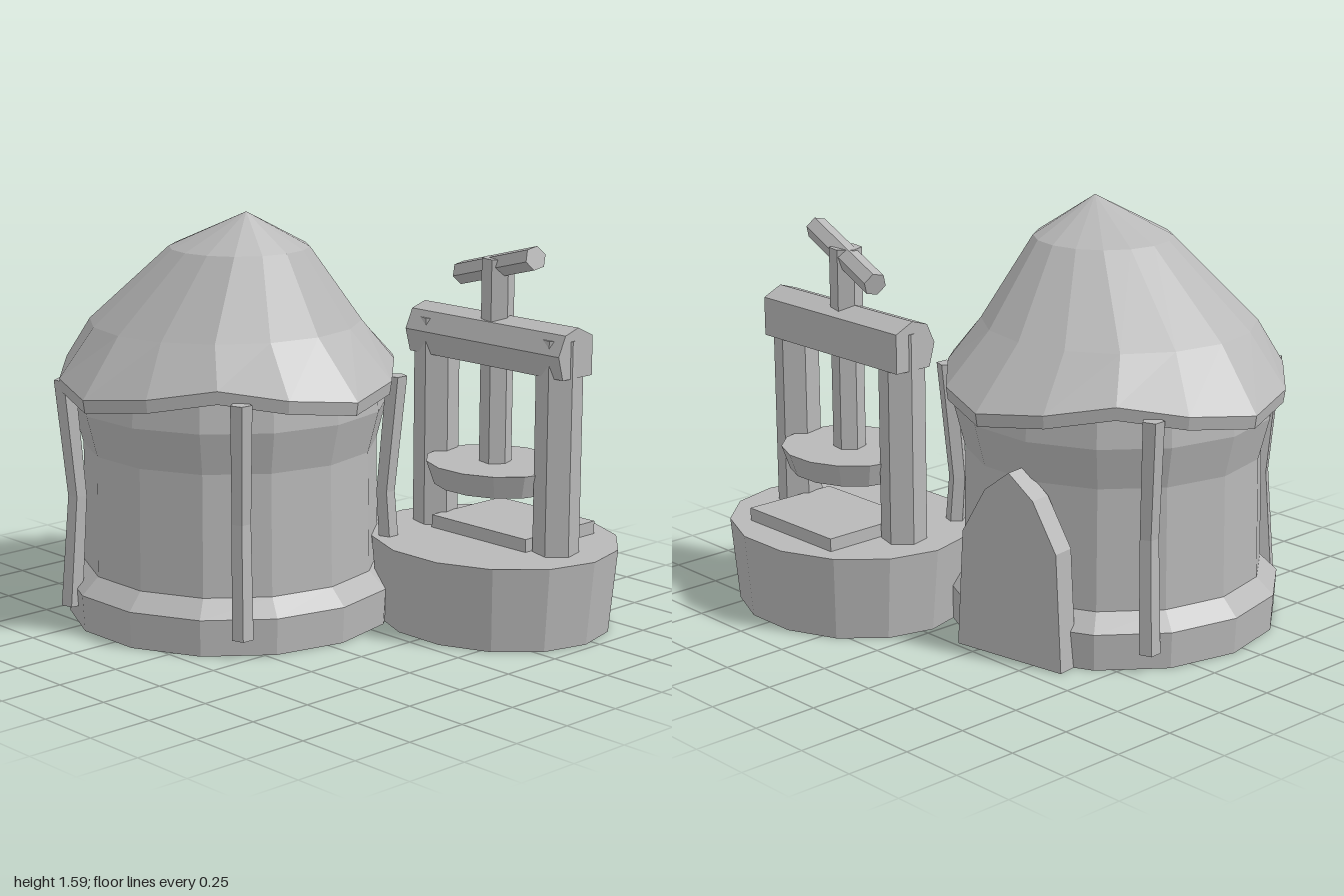
import * as THREE from 'three';

const stone = new THREE.MeshStandardMaterial({ color: 0xb8b8b8, flatShading: true, side: THREE.DoubleSide });
stone.name = 'plain grey';

const V = (x, y, z) => new THREE.Vector3(x, y, z);

// Closed ring of n points round (x, y, z); radii may depend on the angle
function ring(n, x, y, z, rx, rz = rx, turn = 0) {
  return Array.from({ length: n }, (_, i) => {
    const a = turn + (i / n) * Math.PI * 2;
    return V(x + rx * Math.cos(a), y, z + rz * Math.sin(a));
  });
}

// Skin a stack of rings, from bottom to top
function loft(rings) {
  const pos = [];
  const tri = (a, b, c) => {
    const area = b.clone().sub(a).cross(c.clone().sub(a)).length();
    if (area > 1e-9) for (const p of [a, b, c]) pos.push(p.x, p.y, p.z);
  };
  for (let i = 0; i < rings.length - 1; i++) {
    const lo = rings[i], hi = rings[i + 1], n = lo.length;
    for (let j = 0; j < n; j++) {
      const k = (j + 1) % n;
      tri(lo[j], hi[j], lo[k]);
      tri(lo[k], hi[j], hi[k]);
    }
  }
  const g = new THREE.BufferGeometry();
  g.setAttribute('position', new THREE.Float32BufferAttribute(pos, 3));
  g.computeVertexNormals();
  return g;
}

export function createModel() {
  const model = new THREE.Group();
  model.name = 'hutWithPress';
  const add = (name, geometry, parent = model) => {
    const m = new THREE.Mesh(geometry, stone);
    m.name = name;
    parent.add(m);
    return m;
  };

  const hut = new THREE.Group();
  hut.name = 'hut';
  const press = new THREE.Group();
  press.name = 'press';
  model.add(hut, press);
  const HX = -0.293, HZ = 0.19;

  // Round wall with a plinth and a flared top, open below
  const wall = [[0.63, 0], [0.638, 0.14], [0.571, 0.205], [0.564, 0.67], [0.605, 0.83], [0.595, 0.95]];
  add('wall', loft(wall.map(([r, y]) => ring(14, HX, y, HZ, r))), hut);

  // Thatched roof: wavy rim, low on the four axes and high between, with a leaning peak
  const rim = (y, r) => ring(16, 0, 0, 0, 1).map((p, i) => {
    const w = [0, 0.45, 1, 0.45][i % 4];
    const rr = r - 0.08 * w * (r / 0.705);
    return V(HX + p.x * rr, y + 0.065 * w, HZ + p.z * rr);
  });
  add('roof', loft([
    ring(16, HX, 0.96, HZ, 0.56),
    rim(0.88, 0.70),
    rim(0.93, 0.708),
    ring(16, -0.28, 1.15, 0.222, 0.518),
    ring(16, -0.165, 1.445, 0.25, 0.264),
    ring(16, -0.09, 1.585, 0.28, 0),
  ]), hut);

  // Crooked poles leaning against the wall
  for (const [dx, dz] of [[0.51, 0.39], [0.515, -0.37], [-0.53, -0.35], [-0.27, 0.59]]) {
    const d = Math.hypot(dx, dz), turn = Math.atan2(dz, dx);
    const at = (y, r, s) => ring(5, HX + (dx / d) * r, y, HZ + (dz / d) * r, s, s, turn);
    add('pole', loft([
      at(0.07, 0.635, 0), at(0.07, 0.635, 0.042), at(0.5, 0.605, 0.037),
      at(0.95, 0.645, 0.042), at(0.95, 0.645, 0),
    ]), hut);
  }

  // Pointed door slab at the back
  const arch = new THREE.Shape([[-0.24, 0], [0.24, 0], [0.215, 0.45], [0.11, 0.63], [0, 0.715], [-0.11, 0.63], [-0.215, 0.45]]
    .map(([x, y]) => new THREE.Vector2(x, y)));
  const door = add('door', new THREE.ExtrudeGeometry(arch, { depth: 0.09, bevelEnabled: false }), hut);
  const turn = Math.PI + 0.15;
  door.rotation.y = turn;
  door.position.set(HX + Math.sin(turn) * 0.555, 0, HZ + Math.cos(turn) * 0.555);

  // Oval tub, open below
  const PX = 0.492, PZ = -0.46;
  add('tub', loft([
    ring(14, PX, 0, PZ, 0.475, 0.415),
    ring(14, PX, 0.325, PZ, 0.508, 0.442),
    ring(14, PX, 0.325, PZ, 0, 0),
  ]), press);

  // Flat board on the tub
  add('board', new THREE.BoxGeometry(0.49, 0.05, 0.39).translate(PX, 0.35, -0.565), press);

  // Pressing plate
  add('pressPlate', loft([
    ring(14, PX, 0.53, PZ, 0, 0),
    ring(14, PX, 0.53, PZ, 0.25, 0.218),
    ring(14, PX, 0.62, PZ, 0.28, 0.25),
    ring(14, PX, 0.62, PZ, 0, 0),
  ]), press);

  // Two posts
  for (const side of [-1, 1]) {
    const x = PX + side * 0.315;
    add('post', new THREE.CylinderGeometry(0.087, 0.087, 0.82, 6)
      .rotateY(0.25).translate(x, 0.73, PZ), press);
  }

  // Cross beam with a ridged top
  const section = new THREE.Shape([[-0.55, 1.0], [-0.39, 1.0], [-0.365, 1.09], [-0.4, 1.165], [-0.47, 1.187], [-0.55, 1.15]]
    .map(([z, y]) => new THREE.Vector2(-z, y)));
  add('crossBeam', new THREE.ExtrudeGeometry(section, { depth: 0.785, bevelEnabled: false })
    .rotateY(Math.PI / 2).translate(0.1, 0, 0), press);

  // Central screw
  add('screw', new THREE.CylinderGeometry(0.062, 0.062, 0.87, 6)
    .rotateY(0.35).translate(PX, 0.965, PZ), press);

  // Tilted turning handle
  const a = V(0.25, 1.308, -0.52), b = V(0.722, 1.43, -0.412);
  const handle = add('handle', new THREE.CylinderGeometry(0.046, 0.046, a.distanceTo(b), 6), press);
  handle.position.copy(a).add(b).multiplyScalar(0.5);
  handle.quaternion.setFromUnitVectors(V(0, 1, 0), b.clone().sub(a).normalize());

  return model;
}
